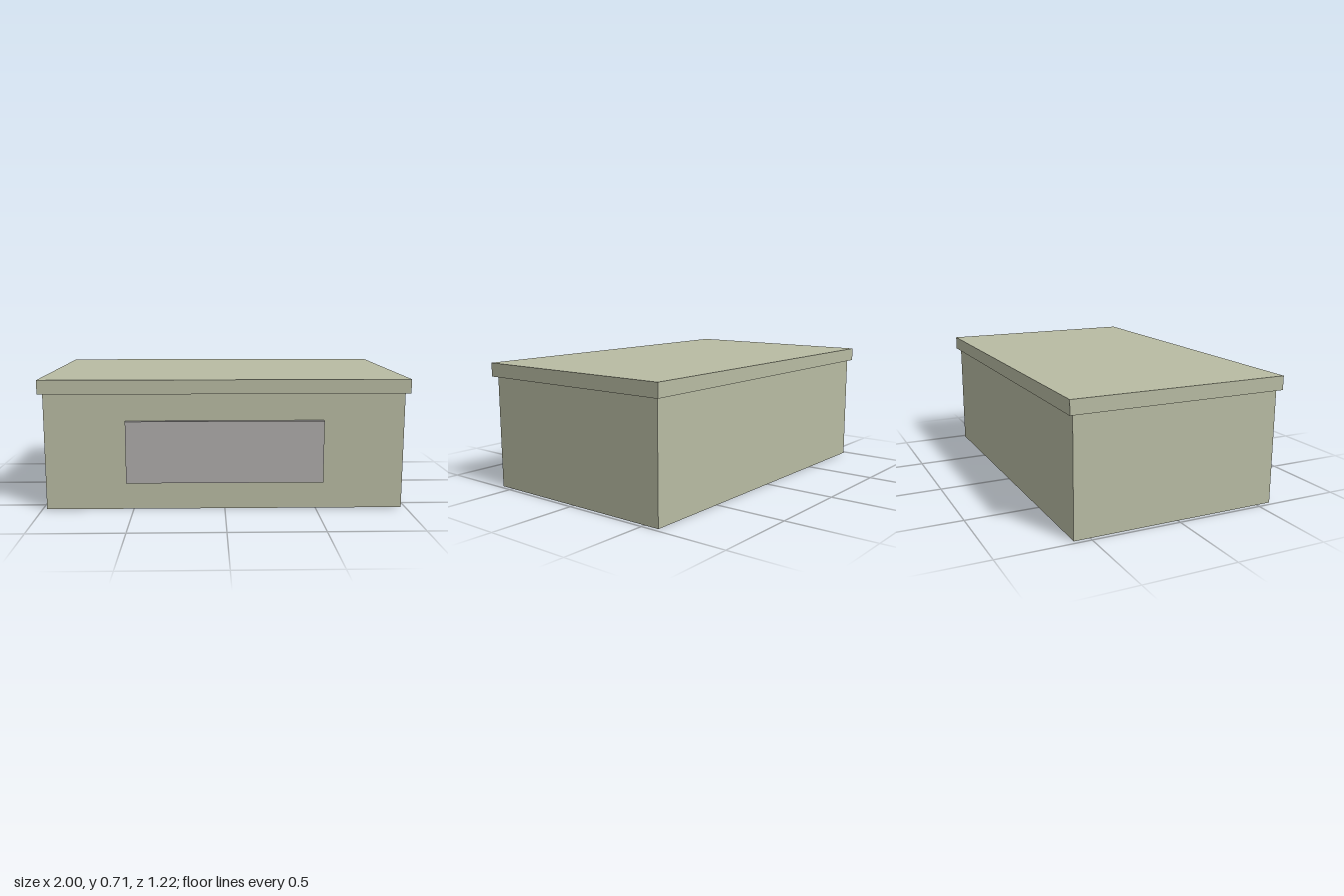
import * as THREE from 'three';

export function createModel() {
  const group = new THREE.Group();
  const card = new THREE.MeshStandardMaterial({ color: 0xb8bba3 });
  card.name = 'sage card';
  const paper = new THREE.MeshStandardMaterial({ color: 0xaeacaa });
  paper.name = 'grey label';

  // Box spanning the given ranges on each axis
  const block = (name, material, [x0, x1], [y0, y1], [z0, z1]) => {
    const mesh = new THREE.Mesh(new THREE.BoxGeometry(x1 - x0, y1 - y0, z1 - z0), material);
    mesh.position.set((x0 + x1) / 2, (y0 + y1) / 2, (z0 + z1) / 2);
    mesh.name = name;
    group.add(mesh);
  };

  // Storage box body
  block('body', card, [-0.976, 0.976], [0, 0.638], [-0.588, 0.585]);
  // Overhanging lid
  block('lid', card, [-1, 1], [0.638, 0.715], [-0.612, 0.609]);
  // Raised label plate on the front
  block('label', paper, [-0.537, 0.537], [0.151, 0.491], [0.585, 0.613]);

  return group;
}
